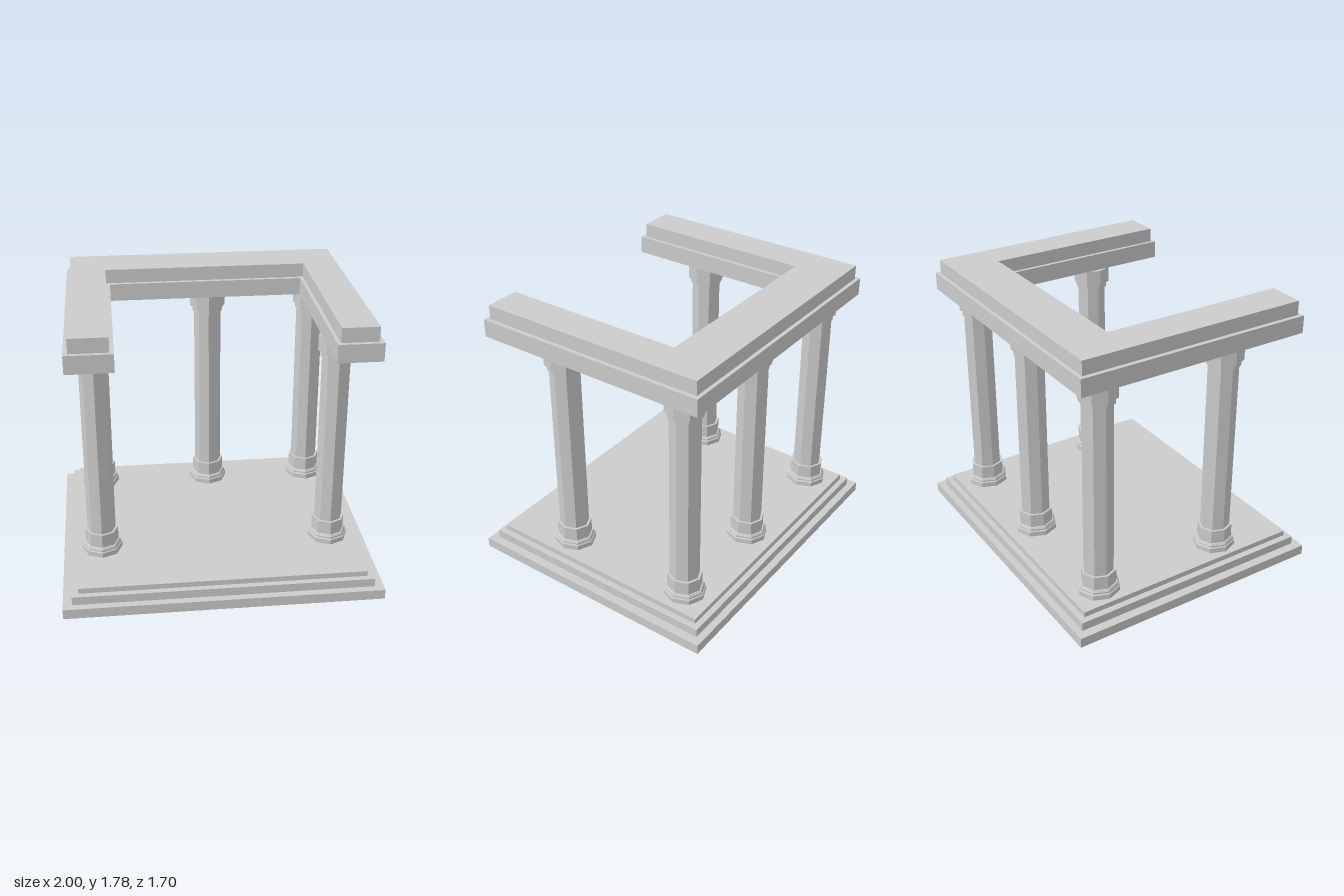
import * as THREE from 'three';

const material = new THREE.MeshStandardMaterial({ color: 0xcccccc, flatShading: true });

function add(parent, name, geometry) {
  const mesh = new THREE.Mesh(geometry, material);
  mesh.name = name;
  parent.add(mesh);
  return mesh;
}

// U-shaped beam, open towards the front
function beam(x, zBack, zFront, innerLeft, innerRight, innerBack, y0, y1) {
  const outline = [
    [-x, zFront], [innerLeft, zFront], [innerLeft, innerBack], [innerRight, innerBack],
    [innerRight, zFront], [x, zFront], [x, zBack], [-x, zBack],
  ];
  // Shape y is -z, so that the extrusion rises along +y once tipped up
  const shape = new THREE.Shape(outline.map(([px, pz]) => new THREE.Vector2(px, -pz)));
  const geometry = new THREE.ExtrudeGeometry(shape, { depth: y1 - y0, bevelEnabled: false });
  return geometry.rotateX(-Math.PI / 2).translate(0, y0, 0);
}

export function createModel() {
  const model = new THREE.Group();
  model.name = 'colonnade';

  // Stepped platform: half width, half depth, bottom, top
  const steps = [
    [1, 0.852, 0, 0.065],
    [0.943, 0.805, 0.065, 0.12],
    [0.902, 0.767, 0.12, 0.155],
  ];
  steps.forEach(([hx, hz, y0, y1], i) => {
    add(model, `platformStep${i + 1}`, new THREE.BoxGeometry(2 * hx, y1 - y0, 2 * hz))
      .position.y = (y0 + y1) / 2;
  });

  // Octagonal column profile: radius, height
  const profile = [
    [0, 0.155], [0.128, 0.155], [0.128, 0.187], [0.121, 0.193], [0.121, 0.203], [0.113, 0.215], // foot
    [0.105, 0.215], [0.105, 0.305], // plinth block
    [0.09, 0.305], [0.09, 1.433], // shaft
    [0.1, 1.433], [0.1, 1.472], // collar
    [0.116, 1.472], [0.116, 1.573], [0, 1.573], // capital
  ].map(([r, y]) => new THREE.Vector2(r, y));
  const columnGeometry = new THREE.LatheGeometry(profile, 8).scale(1, 1, 1.065);

  // Three columns along the back, two at the front
  const columns = [
    ['backRightColumn', -0.746, -0.57], ['backMiddleColumn', 0.03, -0.57], ['backLeftColumn', 0.733, -0.57],
    ['frontRightColumn', -0.746, 0.307], ['frontLeftColumn', 0.733, 0.307],
  ];
  for (const [name, x, z] of columns) add(model, name, columnGeometry).position.set(x, 0, z);

  // Two-tier entablature
  add(model, 'lowerBeam', beam(0.902, -0.767, 0.767, -0.62, 0.63, -0.41, 1.58, 1.692));
  add(model, 'upperBeam', beam(0.875, -0.743, 0.741, -0.645, 0.653, -0.437, 1.692, 1.782));

  return model;
}
